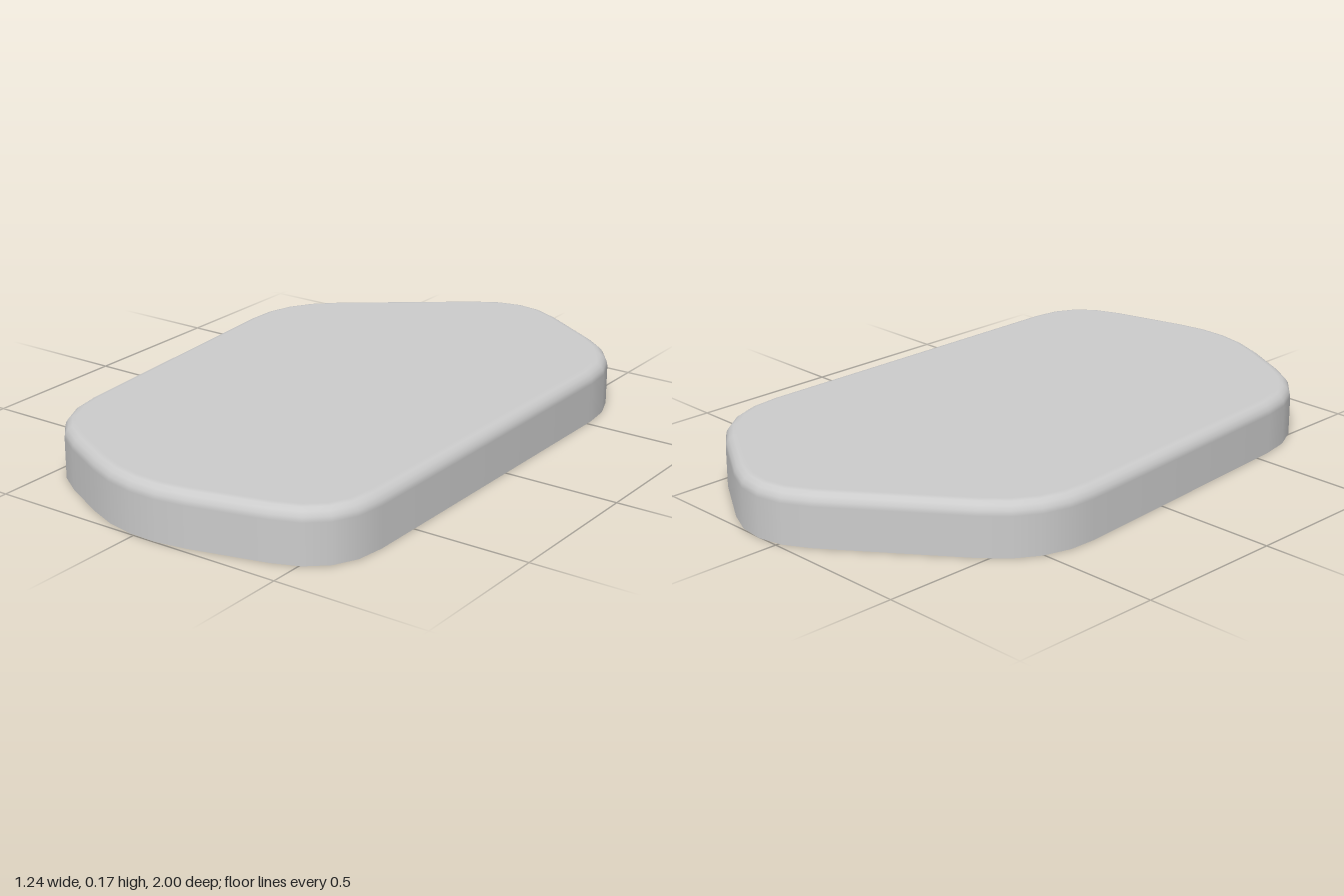
import * as THREE from 'three';

const HEIGHT = 0.17, BEVEL = 0.04, CORNER = 0.205, STEPS = 4;

// Six-sided plan (x, z), clockwise seen from above
const corners = [
  [0.07, -1.062], [0.62, -0.727], [0.62, 0.868],
  [-0.02, 1.032], [-0.537, 0.766], [-0.638, -0.523],
].map(([x, z]) => new THREE.Vector2(x, z));

// Rounds every corner with a quadratic curve
function roundedOutline() {
  const n = corners.length, points = [];
  corners.forEach((c, i) => {
    const toward = (o) => o.clone().sub(c).setLength(CORNER).add(c);
    const start = toward(corners[(i + n - 1) % n]);
    const end = toward(corners[(i + 1) % n]);
    points.push(...new THREE.QuadraticBezierCurve(start, c, end).getPoints(STEPS));
  });
  return points;
}

// Outward direction at each outline point
function outwardNormals(points) {
  const n = points.length;
  const edge = (a, b) => b.clone().sub(a).normalize();
  return points.map((p, i) => {
    const t = edge(points[(i + n - 1) % n], p).add(edge(p, points[(i + 1) % n])).normalize();
    return new THREE.Vector2(t.y, -t.x);
  });
}

function buildGeometry(position, normal, index) {
  const geometry = new THREE.BufferGeometry();
  geometry.setAttribute('position', new THREE.Float32BufferAttribute(position, 3));
  geometry.setAttribute('normal', new THREE.Float32BufferAttribute(normal, 3));
  geometry.setIndex(index);
  return geometry;
}

export function createModel() {
  const group = new THREE.Group();
  group.name = 'roundedSlab';
  const material = new THREE.MeshStandardMaterial({ color: 0xcccccc, side: THREE.DoubleSide });
  const outline = roundedOutline(), out = outwardNormals(outline), n = outline.length;

  // Section rings: straight wall, then a quarter-round edge
  const rings = [{ inset: 0, y: 0, angle: 0 }];
  for (let k = 0; k <= 4; k++) {
    const angle = (k / 4) * Math.PI / 2;
    rings.push({
      inset: BEVEL * (1 - Math.cos(angle)),
      y: HEIGHT - BEVEL + BEVEL * Math.sin(angle),
      angle,
    });
  }

  // Side wall with rounded upper edge, open underneath
  const pos = [], nor = [], idx = [];
  rings.forEach(({ inset, y, angle }, r) => {
    outline.forEach((p, j) => {
      const d = out[j];
      pos.push(p.x - d.x * inset, y, p.y - d.y * inset);
      nor.push(d.x * Math.cos(angle), Math.sin(angle), d.y * Math.cos(angle));
      if (r === rings.length - 1) return;
      const a = r * n + j, b = r * n + (j + 1) % n;
      idx.push(a, a + n, b, b, a + n, b + n);
    });
  });
  const wall = new THREE.Mesh(buildGeometry(pos, nor, idx), material);
  wall.name = 'sideWall';

  // Flat top, a fan inside the last ring
  const topPos = [0, HEIGHT, 0, ...pos.slice(-n * 3)], topNor = [0, 1, 0], topIdx = [];
  for (let j = 0; j < n; j++) {
    topNor.push(0, 1, 0);
    topIdx.push(0, 1 + (j + 1) % n, 1 + j);
  }
  const top = new THREE.Mesh(buildGeometry(topPos, topNor, topIdx), material);
  top.name = 'topFace';

  group.add(wall, top);
  return group;
}
